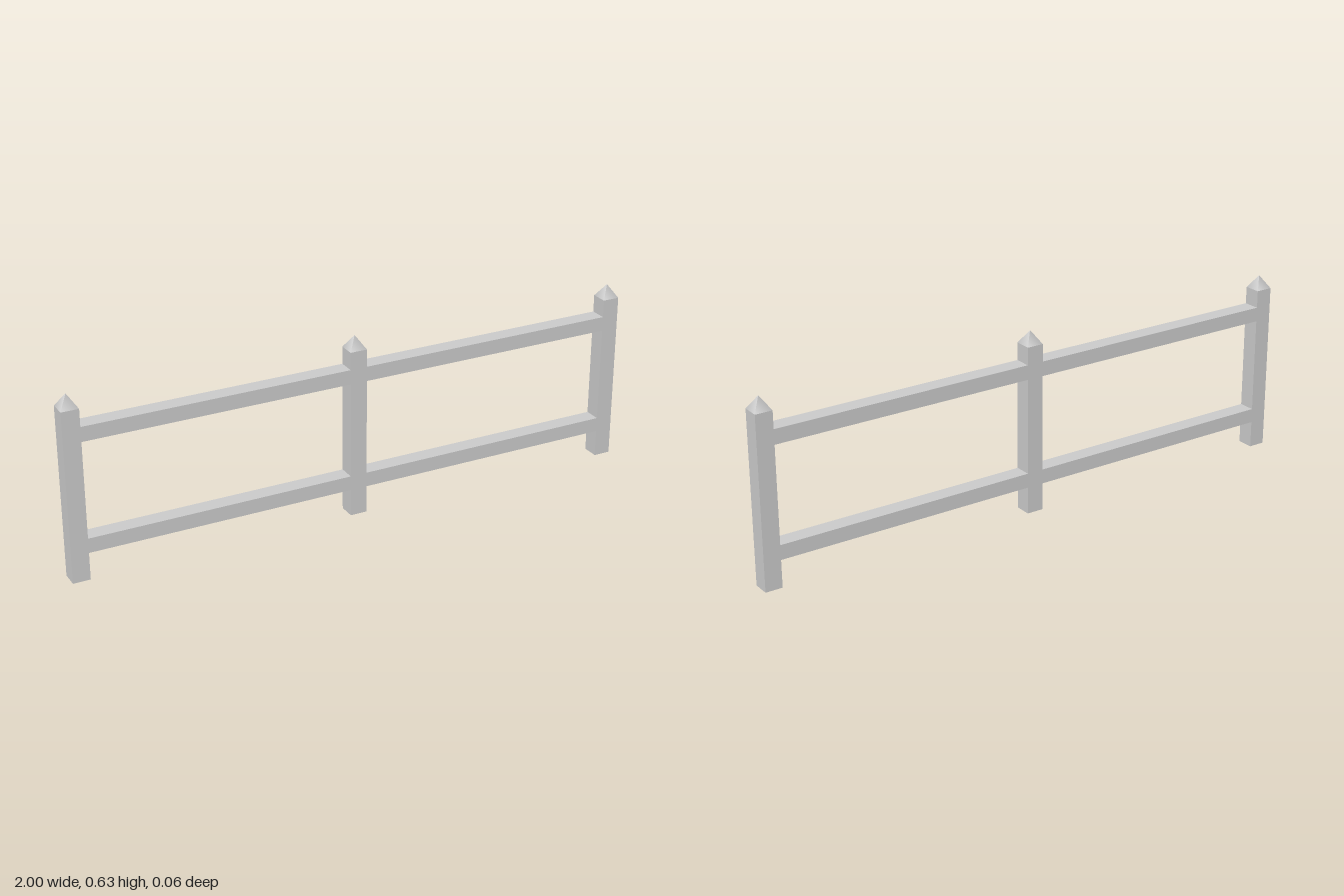
import * as THREE from 'three';

const W = 0.0585;            // post width, also rail depth
const POST_H = 0.584;
const TIP_H = 0.045;
const POST_X = 1 - W / 2;    // centre of the end posts

export function createModel() {
  const fence = new THREE.Group();
  fence.name = 'fence';
  const material = new THREE.MeshStandardMaterial({ color: 0xcccccc });

  const add = (name, geometry, x, y) => {
    const mesh = new THREE.Mesh(geometry, material);
    mesh.name = name;
    mesh.position.set(x, y, 0);
    fence.add(mesh);
  };

  // Square posts with softly shaded pyramid tips
  const postGeo = new THREE.BoxGeometry(W, POST_H, W);
  const tipGeo = new THREE.ConeGeometry(W / Math.SQRT2, TIP_H, 4, 1, true).rotateY(Math.PI / 4);
  for (const [side, x] of [['right', -POST_X], ['middle', 0], ['left', POST_X]]) {
    add(`${side}Post`, postGeo, x, POST_H / 2);
    add(`${side}PostTip`, tipGeo, x, POST_H + TIP_H / 2);
  }

  // Rails spanning the gaps between posts, flush with their faces
  const railGeo = new THREE.BoxGeometry(POST_X - W, 0.05, W);
  for (const [side, s] of [['Right', -1], ['Left', 1]]) {
    add(`lower${side}Rail`, railGeo, s * POST_X / 2, 0.119);
    add(`upper${side}Rail`, railGeo, s * POST_X / 2, 0.499);
  }

  return fence;
}
